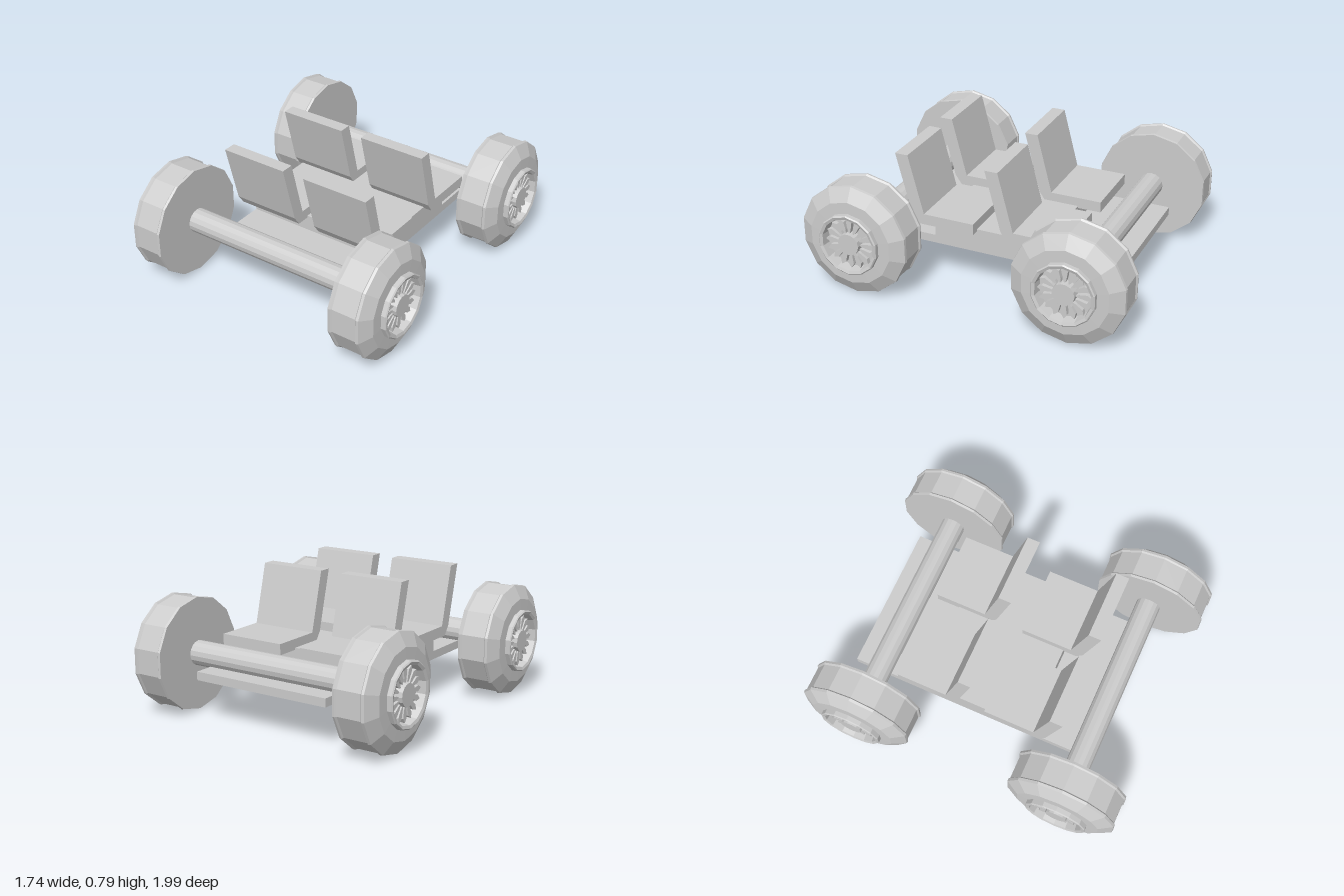
import * as THREE from 'three';

const grey = new THREE.MeshStandardMaterial({ color: 0xcccccc, flatShading: true });

const WHEEL_Y = 0.338, WHEEL_Z = 0.65;

function add(parent, name, geometry, x = 0, y = 0, z = 0) {
  const mesh = new THREE.Mesh(geometry, grey);
  mesh.name = name;
  mesh.position.set(x, y, z);
  parent.add(mesh);
  return mesh;
}

// Box given by its limits on each axis
function block(parent, name, [x0, x1], [y0, y1], [z0, z1]) {
  return add(parent, name, new THREE.BoxGeometry(x1 - x0, y1 - y0, z1 - z0),
    (x0 + x1) / 2, (y0 + y1) / 2, (z0 + z1) / 2);
}

// Wheel with its axis along y, later turned to point sideways
function makeWheel() {
  const wheel = new THREE.Group();
  const profile = [
    [0, 0.583], [0.334, 0.583], [0.337, 0.597], [0.328, 0.606], // closed back, inner bead
    [0.328, 0.752], [0.337, 0.76], [0.334, 0.775],              // tread, outer bead
    [0.255, 0.818], [0.187, 0.82],                              // sidewall
    [0.187, 0.846], [0.18, 0.852], [0.163, 0.846],              // rim lip
    [0.155, 0.79], [0, 0.79],                                   // rim dish
  ].map(([r, h]) => new THREE.Vector2(r, h));
  add(wheel, 'tyreAndRim', new THREE.LatheGeometry(profile, 14, Math.PI / 2));
  add(wheel, 'hub', new THREE.CylinderGeometry(0.065, 0.068, 0.05, 14), 0, 0.813, 0);

  // Petal-shaped spokes around the hub
  const petal = new THREE.Shape([
    [0.055, 0], [0.085, -0.01], [0.13, -0.017], [0.157, 0], [0.13, 0.017], [0.085, 0.01],
  ].map(([x, y]) => new THREE.Vector2(x, y)));
  const spoke = new THREE.ExtrudeGeometry(petal, { depth: 0.03, bevelEnabled: false });
  spoke.rotateX(-Math.PI / 2);
  const count = 16;
  for (let i = 0; i < count; i++) {
    add(wheel, 'spoke', spoke, 0, 0.787, 0).rotation.y = (i / count) * Math.PI * 2;
  }
  return wheel;
}

// Seat facing -z: cushion and leaning backrest in one side profile
function makeSeat(width) {
  const side = new THREE.Shape([
    [-0.52, 0.373], [-0.175, 0.373], [-0.135, 0.43], [-0.04, 0.79],
    [-0.118, 0.79], [-0.21, 0.438], [-0.52, 0.438],
  ].map(([z, y]) => new THREE.Vector2(-z, y)));
  const geometry = new THREE.ExtrudeGeometry(side, { depth: width, bevelEnabled: false });
  geometry.translate(0, 0, -width / 2);
  geometry.rotateY(Math.PI / 2);
  return geometry;
}

export function createModel() {
  const model = new THREE.Group();
  model.name = 'buggy';
  const chassis = new THREE.Group();
  chassis.name = 'chassis';
  chassis.rotation.y = -0.021; // the whole buggy stands slightly turned
  model.add(chassis);

  // Floor
  block(chassis, 'floorPlate', [-0.43, 0.453], [0.24, 0.29], [-0.818, 0.64]);
  block(chassis, 'seatPlatform', [-0.43, 0.453], [0.285, 0.385], [-0.38, 0.3]);

  // Axles and wheels
  for (const z of [-WHEEL_Z, WHEEL_Z]) {
    const axle = add(chassis, 'axle', new THREE.CylinderGeometry(0.073, 0.073, 1.18, 16), 0, 0.343, z);
    axle.rotation.z = Math.PI / 2;
    for (const s of [-1, 1]) {
      const mount = new THREE.Group();
      mount.name = 'wheel';
      const wheel = makeWheel();
      wheel.rotation.z = -Math.PI / 2;
      mount.add(wheel);
      mount.rotation.y = s > 0 ? 0 : Math.PI;
      mount.position.set(0, WHEEL_Y, z);
      chassis.add(mount);
    }
  }

  // Two rows of two seats
  const seat = makeSeat(0.412);
  for (const z of [0, 0.555]) {
    for (const x of [-0.254, 0.296]) add(chassis, 'seat', seat, x, 0, z);
  }
  return model;
}
